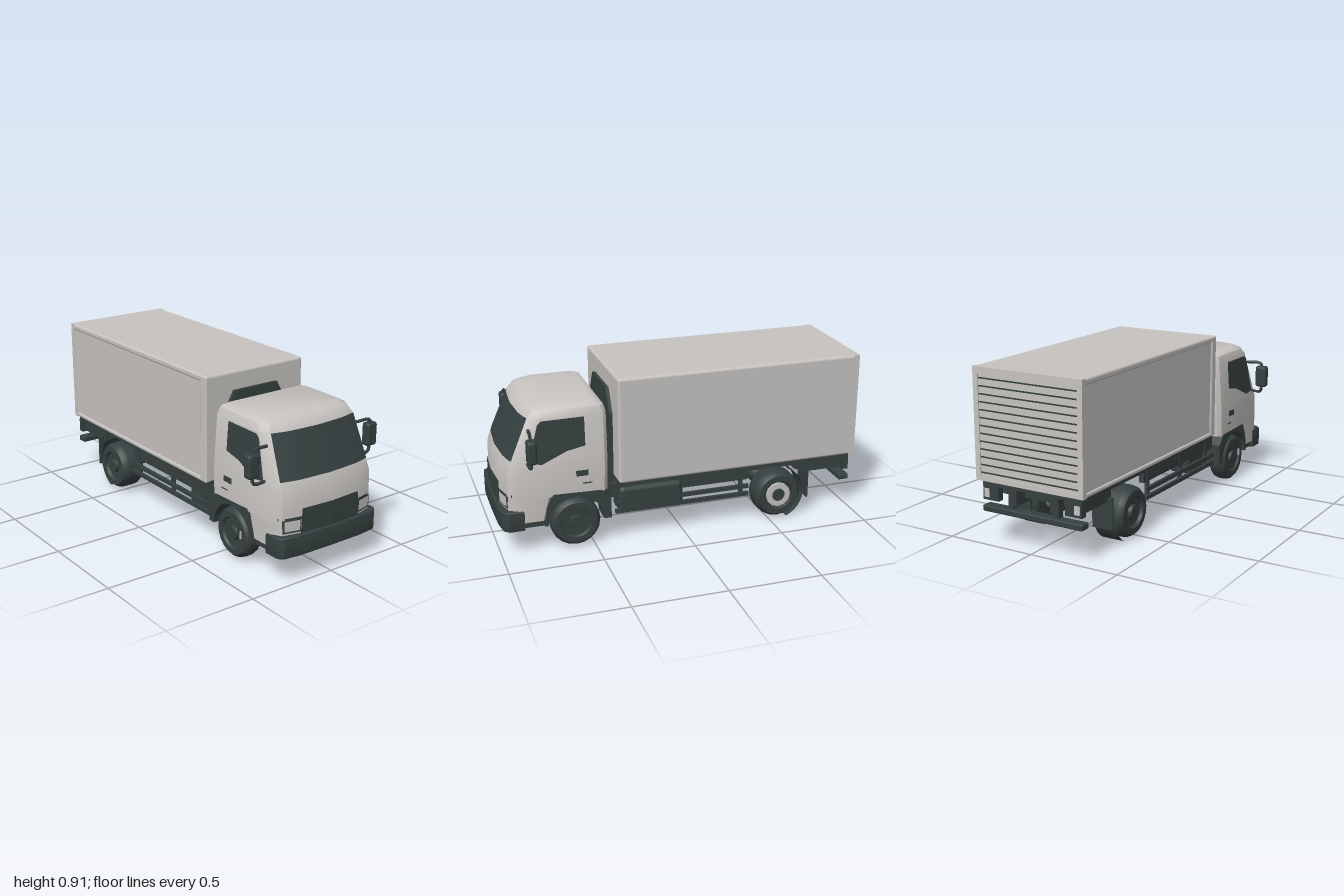
import * as THREE from 'three';
import { toCreasedNormals } from 'three/addons/utils/BufferGeometryUtils.js';
import { RoundedBoxGeometry } from 'three/addons/geometries/RoundedBoxGeometry.js';

const paint = new THREE.MeshStandardMaterial({ color: 0xc6c3c0 });
paint.name = 'light grey paint';
const dark = new THREE.MeshStandardMaterial({ color: 0x364040, side: THREE.DoubleSide });
dark.name = 'dark trim';

// Cab sections: height, back x, front x, half width
const UPPER = [[0.3, 0.425, 0.985, 0.318], [0.45, 0.42, 0.982, 0.318], [0.51, 0.42, 0.957, 0.313],
  [0.73, 0.42, 0.862, 0.297], [0.765, 0.43, 0.835, 0.284], [0.785, 0.46, 0.8, 0.25]];
const LOWER = [[0.17, 0.755, 0.985, 0.315], [0.31, 0.72, 0.985, 0.318]];
// Bow of the nose: share of half width, setback
const BOW = [[0, 0], [0.6, 0.012], [0.9, 0.035], [1, 0.09]];

const lerpRows = (rows, v, col) => {
  let i = 0;
  while (i < rows.length - 2 && v > rows[i + 1][0]) i++;
  const [a, b] = [rows[i], rows[i + 1]];
  const t = THREE.MathUtils.clamp((v - a[0]) / (b[0] - a[0]), 0, 1);
  return a[col] + (b[col] - a[col]) * t;
};
const sideZ = y => lerpRows(UPPER, y, 3);
const frontX = (y, z) => lerpRows(UPPER, y, 2) - lerpRows(BOW, Math.abs(z) / sideZ(y), 1);

function bufferOf(positions, index) {
  const g = new THREE.BufferGeometry();
  g.setAttribute('position', new THREE.Float32BufferAttribute(positions, 3));
  g.setIndex(index);
  g.computeVertexNormals();
  return g;
}

// Closed body lofted through horizontal sections
function loft(sections) {
  const pos = [], idx = [];
  for (const [y, xb, xf, w] of sections) {
    const half = [[xb, 0.94 * w], [xb + 0.02, w], ...BOW.slice(1).reverse().map(([t, d]) => [xf - d, t * w])];
    const loop = [...half, [xf, 0], ...half.slice().reverse().map(([x, z]) => [x, -z])];
    loop.forEach(([x, z]) => pos.push(x, y, z));
  }
  const n = pos.length / 3 / sections.length, top = (sections.length - 1) * n;
  for (let r = 0; r < top; r += n) for (let k = 0; k < n; k++) {
    const a = r + k, b = r + (k + 1) % n;
    idx.push(a, b, b + n, a, b + n, a + n);
  }
  for (let k = 1; k < n - 1; k++) idx.push(0, k + 1, k, top, top + k, top + k + 1);
  return toCreasedNormals(bufferOf(pos, idx), 0.6);
}

// Thin skin following the nose between two heights; z ranges at bottom and top
function frontPlate(y0, y1, bottom, top, off) {
  const pos = [], idx = [], N = 16, R = 6;
  for (let r = 0; r <= R; r++) for (let c = 0; c <= N; c++) {
    const v = r / R, u = c / N, y = y0 + (y1 - y0) * v;
    const l = bottom[0] + (top[0] - bottom[0]) * v, h = bottom[1] + (top[1] - bottom[1]) * v;
    const z = l + (h - l) * u;
    pos.push(frontX(y, z) + off, y, z);
    if (r < R && c < N) {
      const a = r * (N + 1) + c, b = a + N + 1;
      idx.push(a, b, b + 1, a, b + 1, a + 1);
    }
  }
  return bufferOf(pos, idx);
}

const shapeOf = pts => new THREE.Shape(pts.map(p => new THREE.Vector2(...p)));

// Flat shape laid on the side of the cab
function sidePlate(pts, s) {
  const g = new THREE.ShapeGeometry(shapeOf(pts));
  const p = g.attributes.position;
  for (let i = 0; i < p.count; i++) p.setZ(i, s * (sideZ(p.getY(i)) + 0.004));
  if (s < 0) g.index.array.reverse();
  g.computeVertexNormals();
  return g;
}

export function createModel() {
  const truck = new THREE.Group();
  truck.name = 'boxTruck';
  const add = (name, geo, mat = dark) => {
    const m = new THREE.Mesh(geo, mat);
    m.name = name;
    truck.add(m);
    return m;
  };
  // Box given by its limits, optionally rounded
  const box = (name, x0, x1, y0, y1, z0, z1, mat = dark, r = 0) => {
    const d = [x1 - x0, y1 - y0, z1 - z0];
    const m = add(name, r ? new RoundedBoxGeometry(...d, 3, r) : new THREE.BoxGeometry(...d), mat);
    m.position.set((x0 + x1) / 2, (y0 + y1) / 2, (z0 + z1) / 2);
    return m;
  };
  const rod = (name, r, x, y, z0, z1, mat = dark, sides = 16) => {
    const m = add(name, new THREE.CylinderGeometry(r, r, z1 - z0, sides), mat);
    m.rotation.x = Math.PI / 2;
    m.position.set(x, y, (z0 + z1) / 2);
    return m;
  };

  // Cargo box with a framed side and a roller door
  box('cargoBox', -0.995, 0.365, 0.325, 0.905, -0.325, 0.307, paint, 0.015);
  box('sideFrameTop', -0.995, 0.365, 0.87, 0.905, 0.28, 0.315, paint, 0.012);
  box('sideFrameBottom', -0.995, 0.365, 0.325, 0.35, 0.28, 0.315, paint, 0.01);
  box('sideFrameRear', -0.995, -0.965, 0.325, 0.905, 0.28, 0.315, paint, 0.012);
  box('sideFrameFront', 0.31, 0.365, 0.325, 0.905, 0.28, 0.315, paint, 0.012);
  for (const s of [1, -1]) box('doorPost', -1, -0.97, 0.325, 0.905, s > 0 ? 0.285 : -0.325, s > 0 ? 0.315 : -0.295, paint);
  box('doorHeader', -1, -0.97, 0.87, 0.905, -0.325, 0.315, paint);
  box('doorSill', -1, -0.97, 0.325, 0.35, -0.325, 0.315, paint);
  for (let i = 0; i < 13; i++) {
    const y = 0.365 + i * 0.04;
    box('doorGroove', -0.998, -0.99, y, y + 0.007, -0.293, 0.283);
  }

  // Unit on the front bulkhead
  const bulkhead = new THREE.ExtrudeGeometry(shapeOf([[-0.21, 0.32], [0.21, 0.32], [0.21, 0.68],
    [0.14, 0.805], [-0.14, 0.805], [-0.21, 0.68]]), { depth: 0.022, bevelEnabled: false });
  add('bulkheadUnit', bulkhead.rotateY(Math.PI / 2)).position.x = 0.36;
  box('gapDuct', 0.36, 0.42, 0.3, 0.55, -0.2, 0.2);

  // Cab
  add('cabUpper', loft(UPPER), paint);
  add('cabLower', loft(LOWER), paint);
  add('windshield', frontPlate(0.51, 0.73, [-0.283, 0.283], [-0.268, 0.268], 0.005));
  add('grille', frontPlate(0.23, 0.37, [-0.19, 0.19], [-0.182, 0.182], 0.006));
  add('grilleBand', frontPlate(0.316, 0.33, [-0.3, 0.3], [-0.3, 0.3], 0.005));
  for (const s of [1, -1]) {
    const span = (a, b) => s > 0 ? [a, b] : [-b, -a];
    add('headlightSurround', frontPlate(0.25, 0.32, span(0.188, 0.285), span(0.185, 0.288), 0.003));
    add('headlight', frontPlate(0.26, 0.314, span(0.194, 0.276), span(0.194, 0.278), 0.006), paint);
    add('sideWindow', sidePlate([[0.54, 0.565], [0.64, 0.545], [0.77, 0.488], [0.84, 0.5], [0.785, 0.7], [0.765, 0.718], [0.54, 0.72]], s));
    add('doorHandle', sidePlate([[0.53, 0.4], [0.595, 0.4], [0.595, 0.432], [0.53, 0.432]], s));
    add('handleCrease', sidePlate([[0.51, 0.355], [0.56, 0.355], [0.56, 0.362], [0.51, 0.362]], s));

    // Wheel arch
    const arch = shapeOf([[0.41, 0.14], [0.41, 0.25], [0.46, 0.305], [0.72, 0.312], [0.755, 0.24], [0.77, 0.14]]);
    for (let i = 0; i <= 12; i++) {
      const a = Math.PI * i / 12;
      arch.lineTo(0.6 + 0.15 * Math.cos(a), 0.14 + 0.15 * Math.sin(a));
    }
    const g = new THREE.ExtrudeGeometry(arch, { depth: 0.11, bevelEnabled: false });
    add('wheelArch', g).position.z = s > 0 ? 0.214 : -0.324;

    // Mirror and its bracket
    const path = new THREE.CatmullRomCurve3([[0.83, 0.672, 0.29], [0.835, 0.675, 0.36], [0.838, 0.665, 0.382], [0.838, 0.58, 0.386],
      [0.838, 0.505, 0.382], [0.84, 0.494, 0.36], [0.845, 0.5, 0.305]].map(([x, y, z]) => new THREE.Vector3(x, y, s * z)), false, 'catmullrom', 0.2);
    add('mirrorArm', new THREE.TubeGeometry(path, 28, 0.009, 6));
    box('mirror', 0.81, 0.86, 0.53, 0.655, s > 0 ? 0.352 : -0.42, s > 0 ? 0.42 : -0.352, dark, 0.015);
  }
  // Bumper, curved in plan
  const plan = [[0.88, 0.318], [0.955, 0.318], [0.98, 0.295], [0.992, 0.2]];
  const bumper = new THREE.ExtrudeGeometry(shapeOf([...plan, [0.994, 0], ...plan.slice().reverse().map(([x, z]) => [x, -z])]),
    { depth: 0.086, bevelThickness: 0.012, bevelSize: 0.006, bevelSegments: 2 });
  add('bumper', toCreasedNormals(bumper.rotateX(-Math.PI / 2), 0.6)).position.y = 0.142;
  box('cabFloor', 0.42, 0.9, 0.2, 0.305, -0.22, 0.22);
  box('nosePan', 0.76, 0.93, 0.135, 0.2, -0.3, 0.3);

  // Wheels
  const tyre = [[0.06, -0.5], [0.115, -0.5], [0.13, -0.36], [0.135, -0.2], [0.135, 0.2], [0.13, 0.36], [0.115, 0.5],
    [0.085, 0.5], [0.078, 0.38], [0.04, 0.36], [0.036, 0.5], [0, 0.5]];
  for (const [x, w, zo] of [[0.6, 0.1, 0.322], [-0.55, 0.14, 0.328]]) for (const s of [1, -1]) {
    const geo = new THREE.LatheGeometry(tyre.map(([r, t]) => new THREE.Vector2(r, t * w)), 20);
    const wheel = add(x > 0 ? 'frontWheel' : 'rearWheel', toCreasedNormals(geo, 0.6));
    wheel.rotation.x = s * Math.PI / 2;
    wheel.position.set(x, 0.135, s * (zo - w / 2));
    if (x < 0 && s < 0) {
      rod('rearHub', 0.07, x, 0.135, -0.325, -0.3, paint, 12);
      rod('rearHubCap', 0.03, x, 0.135, -0.335, -0.32, dark, 10);
    }
  }
  box('wheelMark', 0.667, 0.677, 0.13, 0.17, 0.318, 0.325, paint);

  // Axles and drive line
  rod('frontAxle', 0.025, 0.6, 0.135, -0.25, 0.25);
  rod('rearAxle', 0.03, -0.55, 0.135, -0.25, 0.25);
  const diff = add('differential', new THREE.SphereGeometry(0.058, 12, 8));
  diff.position.set(-0.55, 0.138, 0);
  const shaft = add('driveShaft', new THREE.CylinderGeometry(0.016, 0.016, 0.9, 10));
  shaft.rotation.z = Math.PI / 2 - 0.08;
  shaft.position.set(-0.08, 0.175, 0);
  box('engine', 0.35, 0.8, 0.13, 0.26, -0.1, 0.1, dark, 0.02);

  // Chassis
  box('boxFloor', -0.98, 0.36, 0.3, 0.33, -0.3, 0.295);
  for (const s of [1, -1]) {
    const zr = (a, b) => s > 0 ? [a, b] : [-b, -a];
    box('chassisRail', -0.97, 0.8, 0.215, 0.305, ...zr(0.1, 0.135));
    box('skirtBeam', -0.38, 0.4, 0.235, 0.31, ...zr(0.25, 0.28));
    box('rearSkirt', -0.98, -0.7, 0.235, 0.305, ...zr(0.25, 0.28));
    for (const y of [0.145, 0.19]) box('sideGuardBar', -0.38, 0.38, y, y + 0.022, ...zr(0.283, 0.3));
    for (const x of [-0.35, 0, 0.3]) box('sideGuardPost', x, x + 0.02, 0.145, 0.3, ...zr(0.268, 0.285));
    box('mudFlap', -0.735, -0.725, 0.09, 0.26, ...zr(0.19, 0.31));
    const guard = add('rearMudguard', new THREE.CylinderGeometry(0.155, 0.155, 0.13, 16, 1, true, Math.PI * 0.12, Math.PI * 0.76));
    guard.geometry.rotateY(Math.PI).rotateX(Math.PI / 2);
    guard.position.set(-0.55, 0.135, s * 0.245);
    box('tailLampHousing', -0.985, -0.95, 0.225, 0.3, ...zr(0.2, 0.295));
    box('tailLamp', -0.99, -0.983, 0.24, 0.285, ...zr(0.255, 0.285), paint);
    box('rearBarBracket', -0.97, -0.93, 0.17, 0.3, ...zr(0.12, 0.15));
  }
  for (const x of [-0.9, -0.72, -0.3, 0.05, 0.33]) box('crossMember', x, x + 0.04, 0.24, 0.3, -0.25, 0.25);
  box('rearBar', -0.99, -0.93, 0.162, 0.195, -0.3, 0.3, dark, 0.008);
  box('batteryBox', 0.15, 0.36, 0.14, 0.235, 0.14, 0.26, dark, 0.012);
  box('fuelTank', 0.0, 0.36, 0.135, 0.29, -0.3, -0.15, dark, 0.03);
  return truck;
}
